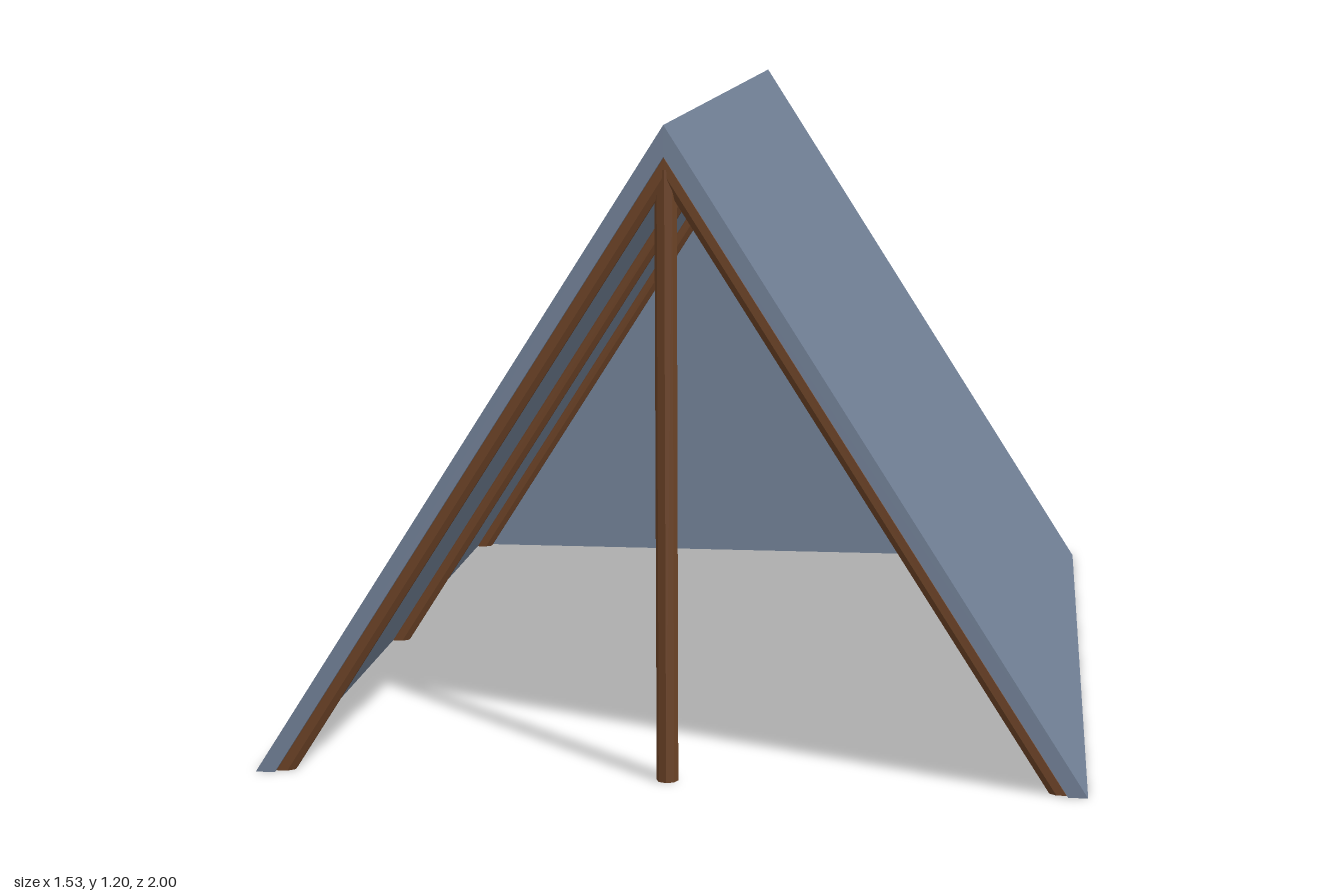
import * as THREE from 'three';

const HALF_W = 0.764, HEIGHT = 1.2, HALF_L = 1;
const SKIN = 0.03, POLE_R = 0.02, SIDES = 8;

const SLOPE = HEIGHT / HALF_W;
const SIN = HEIGHT / Math.hypot(HALF_W, HEIGHT);
// Base half-width of the roof outline moved inwards by a perpendicular distance
const insetWidth = (d) => HALF_W - d / SIN;

function extrude(points, z0, z1) {
  const shape = new THREE.Shape(points.map(([x, y]) => new THREE.Vector2(x, y)));
  const geo = new THREE.ExtrudeGeometry(shape, { depth: z1 - z0, bevelEnabled: false });
  return geo.translate(0, 0, z0);
}

function faceted(geo) {
  const flat = geo.toNonIndexed();
  flat.computeVertexNormals();
  return flat;
}

// Rafter under one slope, its ends trimmed to the ground and to the ridge plane
function rafterGeometry(side) {
  const w = insetWidth(SKIN + 0.01);
  const geo = new THREE.CylinderGeometry(POLE_R, POLE_R, 1, SIDES);
  geo.rotateY(Math.PI / SIDES);
  geo.rotateZ(side * Math.atan2(HALF_W, HEIGHT));
  const dir = new THREE.Vector3(-side * HALF_W, HEIGHT, 0).normalize();
  const pos = geo.attributes.position, p = new THREE.Vector3();
  for (let i = 0; i < pos.count; i++) {
    p.fromBufferAttribute(pos, i);
    const top = p.dot(dir) > 0;
    p.x += side * w;
    p.addScaledVector(dir, top ? -p.x / dir.x : -p.y / dir.y);
    pos.setXYZ(i, p.x, p.y, p.z);
  }
  return faceted(geo);
}

export function createModel() {
  const canvas = new THREE.MeshStandardMaterial({ color: 0x718096 });
  canvas.name = 'slate blue canvas';
  const wood = new THREE.MeshStandardMaterial({ color: 0x6b4226 });
  wood.name = 'brown wood';

  const tent = new THREE.Group();
  tent.name = 'tent';
  const add = (name, geo, mat, z = 0) => {
    const mesh = new THREE.Mesh(geo, mat);
    mesh.name = name;
    mesh.position.z = z;
    tent.add(mesh);
  };

  // Folded canvas roof
  const inW = insetWidth(SKIN), inH = inW * SLOPE;
  add('roofCanvas', extrude([
    [-HALF_W, 0], [-inW, 0], [0, inH], [inW, 0], [HALF_W, 0], [0, HEIGHT],
  ], -HALF_L, HALF_L), canvas);

  // Closed back wall
  add('backWall', extrude([[-inW, 0], [inW, 0], [0, inH]], -HALF_L, -HALF_L + SKIN), canvas);

  // Three pairs of rafters
  for (const [label, z] of [['front', 0.97], ['middle', 0], ['back', -0.96]]) {
    add(label + 'LeftRafter', rafterGeometry(1), wood, z);
    add(label + 'RightRafter', rafterGeometry(-1), wood, z);
  }

  // Upright pole in the open front
  const poleH = 1.12;
  const pole = new THREE.CylinderGeometry(POLE_R, POLE_R, poleH, SIDES);
  add('frontPole', faceted(pole.translate(0, poleH / 2, 0)), wood, 0.97);

  return tent;
}
